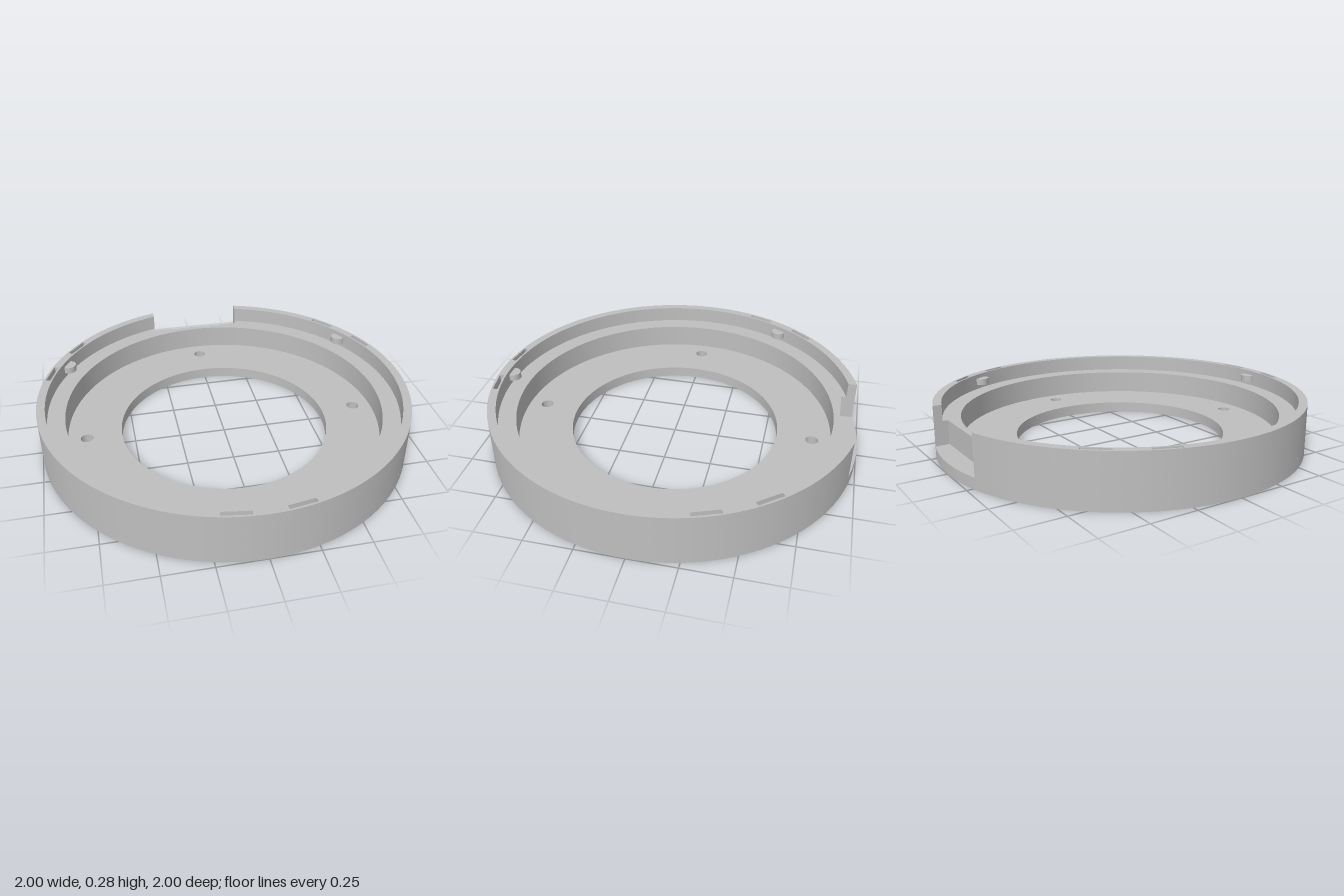
import * as THREE from 'three';
import { toCreasedNormals } from 'three/addons/utils/BufferGeometryUtils.js';

const FLOOR_TOP = 0.06, LEDGE_TOP = 0.19, RIM_TOP = 0.277;
const R_OUT = 1, R_RIM = 0.955, R_WALL = 0.86, R_BORE = 0.57;
const NOTCH_X = 0.265, NOTCH_Z = 0.89;

// Plans are drawn with +y towards the back, then extruded upwards.
function slab(name, shape, y0, y1, material) {
  const geo = new THREE.ExtrudeGeometry(shape, { depth: y1 - y0, bevelEnabled: false, curveSegments: 64 });
  geo.rotateX(-Math.PI / 2).translate(0, y0, 0);
  const mesh = new THREE.Mesh(toCreasedNormals(geo, 0.4), material);
  mesh.name = name;
  return mesh;
}

function circleHole(x, y, r) {
  return new THREE.Path().absarc(x, y, r, 0, Math.PI * 2, true);
}

// Rectangular pocket lying along the rim at the given plan angle
function slotHole(angle) {
  const c = new THREE.Vector2(Math.cos(angle), Math.sin(angle));
  const t = new THREE.Vector2(-c.y, c.x);
  const corners = [[-1, -1], [1, -1], [1, 1], [-1, 1]].map(([u, v]) =>
    c.clone().multiplyScalar(0.976 + v * 0.012).addScaledVector(t, u * 0.07));
  return new THREE.Path(corners);
}

export function createModel() {
  const group = new THREE.Group();
  const grey = new THREE.MeshStandardMaterial({ color: 0xbfbfbf });
  grey.name = 'grey plastic';

  // Floor ring with central bore and four bolt holes
  const floor = new THREE.Shape().absarc(0, 0, R_OUT, 0, Math.PI * 2, false);
  floor.holes.push(circleHole(0, 0, R_BORE));
  for (let i = 0; i < 4; i++) {
    const a = i * Math.PI / 2;
    floor.holes.push(circleHole(0.76 * Math.cos(a), 0.76 * Math.sin(a), 0.034));
  }
  group.add(slab('floorRing', floor, 0, FLOOR_TOP, grey));

  // Thick lower wall, cut flat behind the notch; its top is the ledge
  const aOut = Math.acos(NOTCH_X / R_OUT);
  const ledge = new THREE.Shape();
  ledge.absarc(0, 0, R_OUT, Math.PI - aOut, aOut + Math.PI * 2, false);
  ledge.lineTo(NOTCH_X, NOTCH_Z);
  ledge.lineTo(-NOTCH_X, NOTCH_Z);
  ledge.closePath();
  ledge.holes.push(circleHole(0, 0, R_WALL));
  group.add(slab('ledgeWall', ledge, FLOOR_TOP, LEDGE_TOP, grey));

  // Thin upper rim, open at the notch, with a pair of slots beside each peg
  const pegAngles = [-90, 30, 150].map(THREE.MathUtils.degToRad);
  const aIn = Math.acos(NOTCH_X / R_RIM);
  const rim = new THREE.Shape();
  rim.absarc(0, 0, R_OUT, Math.PI - aOut, aOut + Math.PI * 2, false);
  rim.absarc(0, 0, R_RIM, aIn + Math.PI * 2, Math.PI - aIn, true);
  rim.closePath();
  for (const a of pegAngles) {
    for (const side of [-1, 1]) rim.holes.push(slotHole(a + side * 0.155));
  }
  group.add(slab('upperRim', rim, LEDGE_TOP, RIM_TOP, grey));

  // Locking pegs standing out from the inside of the rim
  for (const a of pegAngles) {
    const peg = new THREE.Mesh(new THREE.CylinderGeometry(0.04, 0.04, 0.036, 32), grey);
    peg.position.set(0.945 * Math.cos(a), 0.235, -0.945 * Math.sin(a));
    peg.name = 'lockingPeg';
    group.add(peg);
  }
  return group;
}
